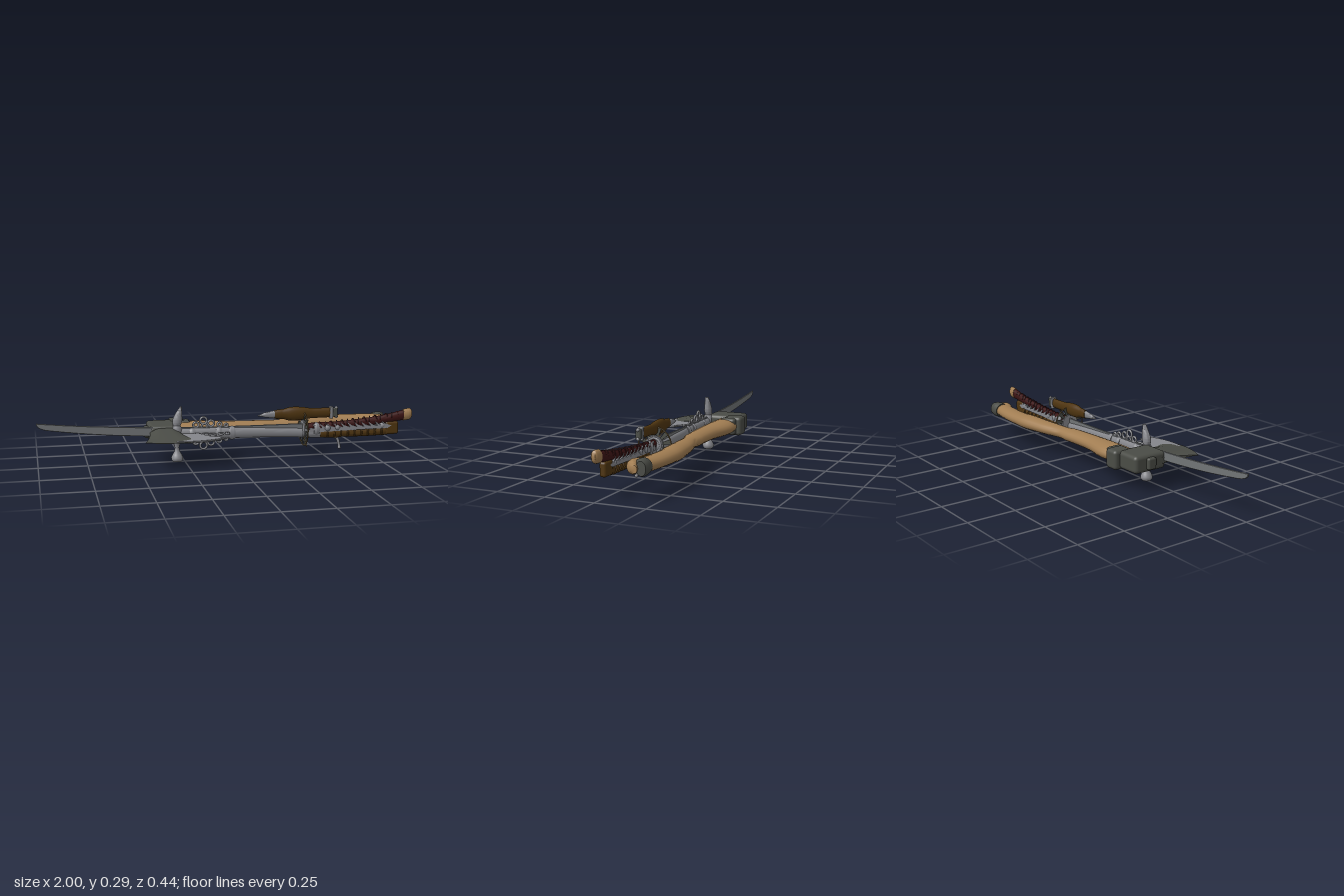
import * as THREE from 'three';
import { toCreasedNormals } from 'three/addons/utils/BufferGeometryUtils.js';
import { RoundedBoxGeometry } from 'three/addons/geometries/RoundedBoxGeometry.js';

const material = (name, color) => {
  const m = new THREE.MeshStandardMaterial({ color });
  m.name = name;
  return m;
};

// Smooth closed body through sections [x, y, z, a, b] along x (a = y radius, b = z radius)
// or along y (a = x radius, b = z radius).
function loft(sections, axis = 'x', sides = 16, steps = 5) {
  const path = new THREE.CatmullRomCurve3(sections.map(s => new THREE.Vector3(s[0], s[1], s[2])));
  const size = new THREE.CatmullRomCurve3(sections.map(s => new THREE.Vector3(s[3], s[4], 0)));
  const n = (sections.length - 1) * steps;
  const pos = [], idx = [];
  for (let i = 0; i <= n; i++) {
    const p = path.getPoint(i / n), r = size.getPoint(i / n);
    for (let j = 0; j < sides; j++) {
      const t = j / sides * Math.PI * 2, c = Math.cos(t), s = Math.sin(t);
      if (axis === 'x') pos.push(p.x, p.y + c * r.x, p.z + s * r.y);
      else pos.push(p.x + s * r.x, p.y, p.z + c * r.y);
      if (i < n) {
        const a = i * sides + j, b = i * sides + (j + 1) % sides;
        idx.push(a, b, a + sides, b, b + sides, a + sides);
      }
    }
  }
  const c0 = pos.length / 3, last = n * sides;
  pos.push(...path.getPoint(0).toArray(), ...path.getPoint(1).toArray());
  for (let j = 0; j < sides; j++) {
    const k = (j + 1) % sides;
    idx.push(c0, k, j, c0 + 1, last + j, last + k);
  }
  const g = new THREE.BufferGeometry();
  g.setAttribute('position', new THREE.Float32BufferAttribute(pos, 3));
  g.setIndex(idx);
  return toCreasedNormals(g, 0.9);
}

// Flat plate from a shape, centred on its own plane
function plate(shape, depth, bevel = 0) {
  const g = new THREE.ExtrudeGeometry(shape, {
    depth, curveSegments: 16, bevelEnabled: bevel > 0, bevelSize: bevel, bevelThickness: bevel, bevelSegments: 1
  });
  return g.translate(0, 0, -depth / 2);
}

export function createModel() {
  const root = new THREE.Group();
  const steel = material('steel', 0x85868b), bladeSteel = material('blade steel', 0x717476);
  const iron = material('dark iron', 0x4a4c46), wood = material('pale wood', 0xa17d52);
  const brown = material('brown leather', 0x4f3510), red = material('dark red wrap', 0x3c1414);
  const brass = material('brass', 0x6e5a38);

  const group = (name) => { const g = new THREE.Group(); g.name = name; root.add(g); return g; };
  const add = (parent, name, geo, mat, x = 0, y = 0, z = 0) => {
    const m = new THREE.Mesh(geo, mat);
    m.name = name;
    m.position.set(x, y, z);
    parent.add(m);
    return m;
  };

  // Curved sword
  const sword = group('curvedSword');
  const blade = new THREE.Shape();
  blade.moveTo(0.39, 0.172);
  blade.bezierCurveTo(0, 0.172, -0.5, 0.172, -1, 0.228);
  blade.quadraticCurveTo(-1, 0.202, -0.94, 0.192);
  blade.bezierCurveTo(-0.6, 0.142, -0.3, 0.126, 0.39, 0.132);
  add(sword, 'swordBlade', plate(blade, 0.004, 0.002), bladeSteel);
  add(sword, 'swordGrip', loft([[0.4, 0.152, 0, 0.022, 0.015], [0.6, 0.157, 0, 0.021, 0.015],
    [0.8, 0.174, 0, 0.022, 0.016], [0.955, 0.197, 0, 0.028, 0.017]]), red);
  add(sword, 'swordPommel', loft([[0.95, 0.197, 0, 0.031, 0.018], [0.975, 0.2, 0, 0.032, 0.019],
    [0.992, 0.202, 0, 0.029, 0.016], [1, 0.203, 0, 0.018, 0.01]]), wood);
  // Crossed wrap ridges on the grip
  for (let i = 0; i < 16; i++) {
    const x = 0.45 + i * 0.031, y = 0.15 + 0.047 * Math.pow((x - 0.4) / 0.55, 1.6);
    const ring = add(sword, 'gripWrap', new THREE.TorusGeometry(0.02, 0.003, 5, 14), red, x, y, 0);
    ring.scale.set(0.8, 1.15, 1);
    ring.rotation.set(0, Math.PI / 2 + (i % 2 ? 0.35 : -0.35), 0);
  }

  // Open wheel guard with vanes
  const guard = new THREE.Group();
  guard.name = 'wheelGuard';
  guard.position.set(0.39, 0.145, 0);
  guard.rotation.y = Math.PI / 2;
  sword.add(guard);
  add(guard, 'guardRim', new THREE.TorusGeometry(0.088, 0.0035, 8, 48), brass);
  const hub = add(guard, 'guardHub', new THREE.CylinderGeometry(0.046, 0.046, 0.014, 28), steel);
  hub.rotation.x = Math.PI / 2;
  add(guard, 'hubRing', new THREE.TorusGeometry(0.034, 0.006, 8, 28), steel, 0, 0, 0.008);
  const vane = new THREE.Shape([[0.036, -0.008], [0.085, -0.013], [0.085, 0.01], [0.036, 0.004]]
    .map(p => new THREE.Vector2(...p)));
  for (let i = 0; i < 12; i++) {
    const spoke = new THREE.Group();
    spoke.name = 'guardSpoke';
    spoke.rotation.z = i * Math.PI / 6 + 0.26;
    guard.add(spoke);
    add(spoke, 'vane', plate(vane, 0.003), iron);
    if (i % 3 === 1) add(spoke, 'spokeRod', new THREE.BoxGeometry(0.065, 0.004, 0.005), brass, 0.07, 0.014, 0);
  }

  // Ornate war hammer
  const hammer = group('warHammer');
  add(hammer, 'hammerShaft', loft([[-0.29, 0.145, 0, 0.03, 0.02], [-0.1, 0.142, 0, 0.031, 0.017],
    [0.1, 0.137, 0, 0.027, 0.016], [0.3, 0.128, 0, 0.026, 0.015], [0.5, 0.115, 0, 0.024, 0.015]]), steel);
  for (const x of [-0.21, -0.07, 0.0, 0.46])
    add(hammer, 'shaftCollar', loft([[x - 0.015, 0.14, 0, 0.032, 0.021], [x, 0.14, 0, 0.037, 0.025],
      [x + 0.015, 0.14, 0, 0.032, 0.021]]), steel);
  const profile = [[0, 0], [0.022, 0.001], [0.03, 0.01], [0.031, 0.022], [0.024, 0.038], [0.014, 0.055],
    [0.011, 0.075], [0.018, 0.1], [0.026, 0.12], [0.026, 0.175], [0.014, 0.2], [0, 0.205]];
  add(hammer, 'hammerHead', new THREE.LatheGeometry(profile.map(p => new THREE.Vector2(...p)), 28), steel, -0.29);
  add(hammer, 'hammerSpike', loft([[-0.29, 0.19, 0, 0.02, 0.018], [-0.287, 0.215, 0, 0.026, 0.021],
    [-0.283, 0.24, 0, 0.022, 0.018], [-0.272, 0.275, 0, 0.01, 0.013], [-0.267, 0.289, 0, 0.004, 0.009]], 'y'), steel);

  // Scrollwork on three sides of the shaft
  const scrolls = [[-0.19, 0.045, 0.014], [-0.15, 0.066, 0.018], [-0.11, 0.05, 0.016],
    [-0.145, 0.035, 0.014], [-0.065, 0.042, 0.011], [-0.03, 0.036, 0.008]];
  for (const turn of [0, Math.PI / 2, Math.PI]) {
    const side = new THREE.Group();
    side.name = 'scrollwork';
    side.position.y = 0.145;
    side.rotation.x = turn;
    hammer.add(side);
    for (const [x, y, r] of scrolls)
      add(side, 'scroll', new THREE.TorusGeometry(r, 0.006, 7, 18), steel, x, y, 0);
  }

  // Thin curved cutting blade on the hammer
  const beard = new THREE.Shape();
  beard.moveTo(-0.3, 0.01);
  beard.lineTo(-0.32, 0.205);
  beard.quadraticCurveTo(-0.17, 0.225, -0.072, 0.158);
  beard.quadraticCurveTo(-0.09, 0.14, -0.092, 0.12);
  beard.quadraticCurveTo(-0.15, 0.12, -0.18, 0.01);
  add(hammer, 'hammerBlade', plate(beard, 0.006, 0.002), steel, 0, 0.145, 0).rotation.x = Math.PI / 2;

  // Grip with pommel, trigger and toothed strap
  add(hammer, 'hammerGrip', loft([[0.48, 0.115, 0, 0.022, 0.016], [0.6, 0.113, 0, 0.022, 0.016],
    [0.74, 0.11, 0, 0.021, 0.015], [0.86, 0.115, 0, 0.024, 0.016]]), brown);
  for (let i = 0; i < 9; i++)
    add(hammer, 'gripRib', new THREE.TorusGeometry(0.018, 0.005, 6, 16), brown, 0.52 + i * 0.038, 0.112, 0).rotation.y = Math.PI / 2;
  add(hammer, 'hammerPommel', new RoundedBoxGeometry(0.075, 0.07, 0.034, 3, 0.012), brown, 0.885, 0.13, 0);
  const hook = new THREE.CatmullRomCurve3([[0.56, 0.095, 0], [0.578, 0.085, 0], [0.588, 0.06, 0], [0.592, 0.034, 0]]
    .map(p => new THREE.Vector3(...p)));
  add(hammer, 'trigger', new THREE.TubeGeometry(hook, 12, 0.008, 8), steel);
  add(hammer, 'triggerTip', new THREE.SphereGeometry(0.009, 12, 8), steel, 0.592, 0.034, 0);
  const strap = new THREE.Shape();
  strap.moveTo(0.42, 0.125);
  strap.lineTo(0.42, 0.15);
  for (let i = 0; i < 11; i++) {
    strap.lineTo(0.45 + i * 0.039, 0.146);
    strap.lineTo(0.434 + i * 0.039, 0.172);
    strap.lineTo(0.458 + i * 0.039, 0.156);
  }
  strap.lineTo(0.88, 0.145);
  strap.lineTo(0.86, 0.132);
  add(hammer, 'toothedStrap', plate(strap, 0.036), steel);
  for (const [x, r] of [[0.52, 0.025], [0.575, 0.023], [0.83, 0.022]])
    add(hammer, 'strapBoss', new THREE.SphereGeometry(r, 14, 10), steel, x, 0.145, 0).scale.set(0.9, 0.9, 1);

  // Sheathed knife
  const knife = group('knife');
  add(knife, 'knifeTip', loft([[0.14, 0.224, 0, 0.002, 0.002], [0.175, 0.227, 0, 0.012, 0.007],
    [0.235, 0.228, 0, 0.022, 0.011]]), steel);
  add(knife, 'knifeSheath', loft([[0.23, 0.228, 0, 0.023, 0.012], [0.28, 0.228, 0, 0.027, 0.014],
    [0.43, 0.227, 0, 0.027, 0.014], [0.54, 0.227, 0, 0.026, 0.013]]), brown);
  add(knife, 'knifeCollar', new RoundedBoxGeometry(0.018, 0.066, 0.03, 2, 0.005), steel, 0.542, 0.227, 0);
  add(knife, 'knifeCap', new RoundedBoxGeometry(0.026, 0.048, 0.026, 2, 0.006), iron, 0.563, 0.227, 0);
  for (const y of [0.205, 0.249])
    add(knife, 'capStud', new THREE.SphereGeometry(0.01, 12, 8), steel, 0.571, y, 0);

  // Broad axe: head widens and thins towards a curved edge
  const axe = group('axe');
  const head = new THREE.BoxGeometry(1, 1, 1, 14, 1, 10), p = head.attributes.position;
  for (let i = 0; i < p.count; i++) {
    const u = p.getX(i) + 0.5, v = p.getZ(i) + 0.5, sgn = Math.sign(p.getY(i));
    const edge = 0.18 + 0.02 * u + 0.03 * 4 * u * (1 - u);
    const half = 0.04 * Math.pow(1 - v, 1.1) * (0.4 + 0.6 * Math.min(1, 4 * u * (1 - u) * 1.3)) + 0.001;
    const flare = v * v;
    p.setXYZ(i, THREE.MathUtils.lerp(-0.43 - 0.045 * flare, -0.28 + 0.08 * flare, u),
      0.145 + sgn * half, THREE.MathUtils.lerp(-0.03, edge, v));
  }
  head.computeVertexNormals();
  add(axe, 'axeBlade', head, iron);
  add(axe, 'axePoll', new RoundedBoxGeometry(0.15, 0.09, 0.19, 3, 0.02), iron, -0.355, 0.146, -0.087);
  add(axe, 'pollLug', new RoundedBoxGeometry(0.04, 0.06, 0.05, 2, 0.01), iron, -0.43, 0.146, -0.09);
  add(axe, 'axeCollar', new RoundedBoxGeometry(0.08, 0.1, 0.1, 3, 0.018), iron, -0.268, 0.146, -0.163);
  add(axe, 'collarBand', new RoundedBoxGeometry(0.055, 0.088, 0.085, 3, 0.015), iron, -0.225, 0.146, -0.145);
  add(axe, 'axeHandle', loft([[-0.3, 0.146, -0.115, 0.036, 0.062], [-0.16, 0.146, -0.125, 0.04, 0.072],
    [0, 0.144, -0.112, 0.036, 0.057], [0.2, 0.142, -0.118, 0.034, 0.052], [0.4, 0.143, -0.148, 0.034, 0.052],
    [0.6, 0.145, -0.17, 0.034, 0.052], [0.75, 0.146, -0.165, 0.033, 0.051], [0.86, 0.146, -0.15, 0.034, 0.044]],
    'x', 20), wood);
  add(axe, 'handleToe', loft([[0.8, 0.146, -0.142, 0.028, 0.028], [0.85, 0.146, -0.126, 0.035, 0.034],
    [0.885, 0.146, -0.13, 0.032, 0.03], [0.922, 0.146, -0.158, 0.018, 0.012]]), wood);
  add(axe, 'buttBand', loft([[0.835, 0.146, -0.163, 0.038, 0.04], [0.865, 0.146, -0.167, 0.042, 0.038],
    [0.9, 0.146, -0.177, 0.034, 0.024]]), iron);

  return root;
}
